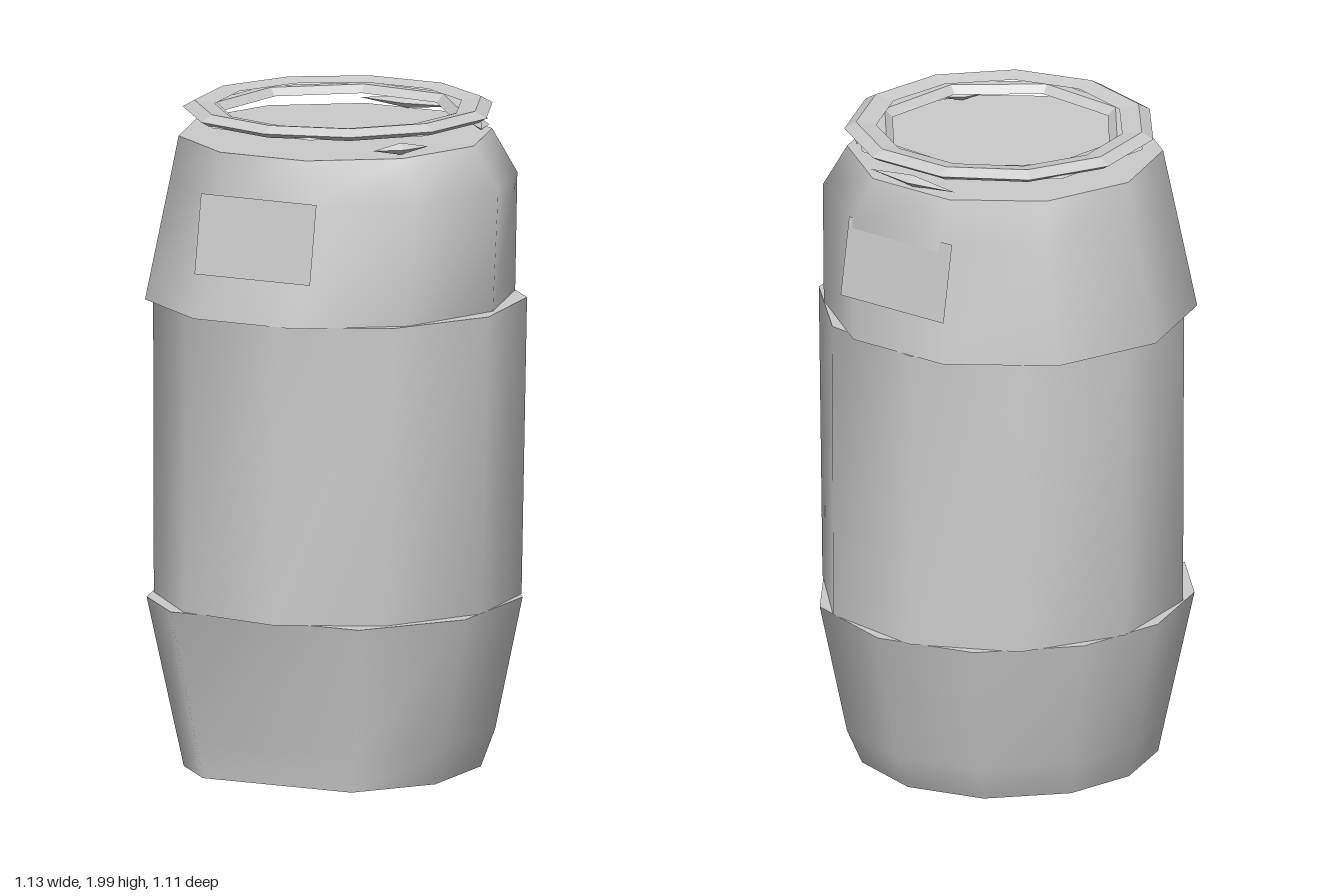
import * as THREE from 'three';

const SIDES = 10;
const grey = new THREE.MeshStandardMaterial({ color: 0xcccccc, side: THREE.DoubleSide });
const greyFlat = new THREE.MeshStandardMaterial({ color: 0xcccccc, flatShading: true, side: THREE.DoubleSide });

function add(group, name, geometry, material = grey) {
  const mesh = new THREE.Mesh(geometry, material);
  mesh.name = name;
  group.add(mesh);
  return mesh;
}

// Ten-sided outline fitted to the given extents; the first corner sits at angle phase from the front
function oval(x0, x1, z0, z1, phase) {
  return Array.from({ length: SIDES }, (_, i) => {
    const a = phase + (i / SIDES) * Math.PI * 2;
    return [(x0 + x1) / 2 + ((x1 - x0) / 2) * Math.sin(a), (z0 + z1) / 2 + ((z1 - z0) / 2) * Math.cos(a)];
  });
}

const scaled = (outline, s, dz = 0) => outline.map(([x, z]) => [x * s, z * s + dz]);

// Smooth band through levels [y, outline]
function band(levels) {
  const pos = [], index = [];
  for (const [y, outline] of levels) for (const [x, z] of outline) pos.push(x, y, z);
  for (let s = 0; s < levels.length - 1; s++) {
    for (let i = 0; i < SIDES; i++) {
      const j = (i + 1) % SIDES, lo = s * SIDES, hi = lo + SIDES;
      index.push(lo + i, lo + j, hi + j, lo + i, hi + j, hi + i);
    }
  }
  const g = new THREE.BufferGeometry();
  g.setAttribute('position', new THREE.Float32BufferAttribute(pos, 3));
  g.setIndex(index);
  g.computeVertexNormals();
  return g;
}

// Flat face inside an outline, down to a hole of the given scale (0 closes it)
function flat(y, outline, hole, facesUp) {
  const levels = [[y, outline], [y, scaled(outline, hole)]];
  return band(facesUp ? levels : levels.reverse());
}

export function createModel() {
  const model = new THREE.Group();
  model.name = 'drum';

  // Lower body: uneven ten-sided outline, narrowing to the base
  const lowerTop = [
    [-0.29, 0.51], [0.34, 0.5], [0.535, 0.2], [0.51, -0.2], [0.32, -0.46],
    [0.02, -0.56], [-0.28, -0.48], [-0.5, -0.23], [-0.555, 0.05], [-0.47, 0.33],
  ];
  const foot = scaled(lowerTop, 0.79, 0.02);
  add(model, 'lowerBody', band([[0.01, foot], [0.12, scaled(lowerTop, 0.85)], [0.52, lowerTop]]));
  add(model, 'base', flat(0.01, foot, 0, false));

  // Middle body, almost straight
  const turn = 0.15;
  const middleBottom = oval(-0.545, 0.54, -0.55, 0.56, turn);
  const middleTop = oval(-0.545, 0.57, -0.525, 0.56, turn);
  add(model, 'middleBody', band([[0.52, middleBottom], [1.42, middleTop]]));

  // Shoulder with a flat side to the front and back
  const half = Math.PI / SIDES;
  const shoulderBottom = oval(-0.57, 0.53, -0.54, 0.58, half);
  const shoulderTop = oval(-0.475, 0.46, -0.46, 0.48, half);
  add(model, 'shoulder', band([
    [1.42, shoulderBottom],
    [1.78, oval(-0.505, 0.54, -0.505, 0.515, half)],
    [1.91, shoulderTop],
  ]));
  add(model, 'topPlate', flat(1.91, shoulderTop, 0, true));

  // Narrow ledges that close the steps between the bands
  for (const [y, outline, facesUp] of [
    [0.52, lowerTop, true], [0.52, middleBottom, false],
    [1.42, middleTop, true], [1.42, shoulderBottom, false],
  ]) add(model, 'ledge', flat(y, outline, 0.87, facesUp));

  // Thin grip panels on the front and back of the shoulder, leaning inwards
  for (const [name, z, angle] of [['frontGrip', 0.516, 0], ['backGrip', 0.497, Math.PI]]) {
    const panel = new THREE.PlaneGeometry(0.39, 0.24);
    panel.rotateX(-0.17);
    panel.translate(0, 1.67, z);
    panel.rotateY(angle);
    add(model, name, panel);
  }

  // Clamp ring floating above the top plate: a rim and an inner flange turned against it
  const points = (list) => list.map(([r, y]) => new THREE.Vector2(r, y));
  add(model, 'clampRim', new THREE.LatheGeometry(
    points([[0.44, 1.965], [0.465, 1.98], [0.43, 2.0], [0.37, 1.99]]), 11), greyFlat);
  add(model, 'clampFlange', new THREE.LatheGeometry(
    points([[0.45, 1.967], [0.4, 1.985], [0.37, 1.985], [0.345, 1.962]]), 8), greyFlat).rotation.y = 0.3;

  // Thin wedges between the top plate and the ring: [angle, half length]
  for (const [angle, length] of [[Math.PI, 0.16], [0.95, 0.09], [2.1, 0.08]]) {
    const wedge = new THREE.OctahedronGeometry(1);
    wedge.scale(length, 0.018, 0.025);
    wedge.translate(0, 1.93, 0.42);
    wedge.rotateY(angle);
    add(model, 'ringWedge', wedge, greyFlat);
  }

  return model;
}
